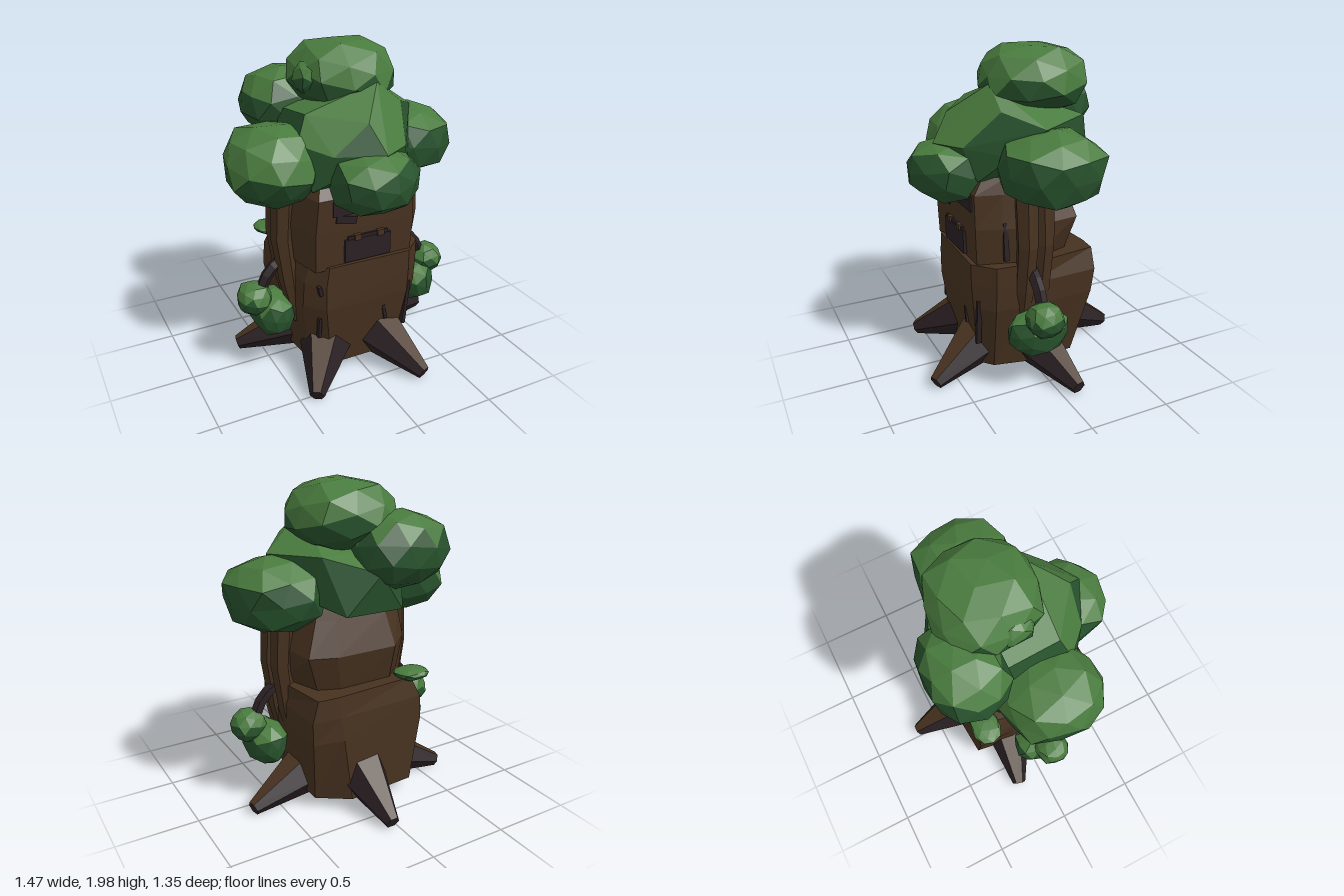
import * as THREE from 'three';
import { ConvexGeometry } from 'three/addons/geometries/ConvexGeometry.js';

const mat = (name, color) => {
  const m = new THREE.MeshStandardMaterial({ color });
  m.name = name;
  return m;
};

export function createModel() {
  const leafLight = mat('light leaves', 0x497b3e);
  const leafDark = mat('dark leaves', 0x28532d);
  const bark = mat('bark', 0x473220);
  const darkBark = mat('dark bark', 0x2a2023);
  const tree = new THREE.Group();
  tree.name = 'tree';

  const add = (name, geo, material) => {
    const mesh = new THREE.Mesh(geo, material);
    mesh.name = name;
    tree.add(mesh);
    return mesh;
  };

  const flat = (geo) => {
    const g = geo.index ? geo.toNonIndexed() : geo;
    g.computeVertexNormals();
    return g;
  };

  // Sorts facets into two material groups: upward facing first, then the rest
  const splitByNormal = (geo, limit) => {
    const g = flat(geo), p = g.attributes.position.array, n = g.attributes.normal.array;
    const up = [], rest = [];
    for (let i = 0; i < p.length; i += 9) (n[i + 1] > limit ? up : rest).push(...p.slice(i, i + 9));
    const out = new THREE.BufferGeometry();
    out.setAttribute('position', new THREE.Float32BufferAttribute([...up, ...rest], 3));
    out.computeVertexNormals();
    out.addGroup(0, up.length / 3, 0);
    out.addGroup(up.length / 3, rest.length / 3, 1);
    return out;
  };

  // Closed loft through horizontal sections [y, [[x, z], ...]], points running from +x to +z
  const loft = (sections) => {
    const v = [], n = sections[0][1].length;
    const at = (s, i) => { const [x, z] = s[1][i % n]; return [x, s[0], z]; };
    const centre = (s) => [
      s[1].reduce((t, q) => t + q[0], 0) / n, s[0], s[1].reduce((t, q) => t + q[1], 0) / n];
    const first = sections[0], last = sections[sections.length - 1];
    for (let i = 0; i < n; i++) {
      for (let k = 0; k < sections.length - 1; k++) {
        const a = sections[k], b = sections[k + 1];
        v.push(...at(a, i), ...at(b, i), ...at(a, i + 1), ...at(a, i + 1), ...at(b, i), ...at(b, i + 1));
      }
      v.push(...centre(first), ...at(first, i), ...at(first, i + 1));
      v.push(...centre(last), ...at(last, i + 1), ...at(last, i));
    }
    const g = new THREE.BufferGeometry();
    g.setAttribute('position', new THREE.Float32BufferAttribute(v, 3));
    return flat(g);
  };

  // Lumpy, slightly squared ball of leaves
  const blob = (name, c, r, seed, limit) => {
    const g = new THREE.IcosahedronGeometry(1, 1), p = g.attributes.position;
    g.rotateY(seed * 1.3).rotateZ(seed * 0.7);
    for (let i = 0; i < p.count; i++) {
      const q = [p.getX(i), p.getY(i), p.getZ(i)], [x, y, z] = q;
      const square = q.reduce((t, v) => t + Math.abs(v) ** 2.4, 0) ** (-1 / 2.4);
      const lump = 1.01 + 0.05 * Math.sin(x * 5.1 + seed * 2) * Math.cos(z * 4.3 - seed) + 0.03 * Math.sin(y * 7 + seed * 3);
      p.setXYZ(i, ...q.map((v) => v * square * lump));
    }
    g.scale(...r).translate(...c);
    return add(name, splitByNormal(g, limit), [leafLight, leafDark]);
  };

  // Trunk, with a dark underside
  add('lowerTrunk', splitByNormal(loft([
    [0.08, [[.33, -.24], [.34, .1], [.3, .28], [.22, .35], [-.22, .35], [-.32, .25], [-.35, -.08], [-.31, -.34], [.14, -.37]]],
    [0.5, [[.39, -.34], [.41, .1], [.39, .3], [.28, .4], [-.27, .4], [-.37, .28], [-.38, -.1], [-.38, -.34], [.2, -.375]]],
    [0.65, [[.4, -.355], [.42, .1], [.4, .3], [.28, .41], [-.27, .4], [-.36, .28], [-.38, -.1], [-.37, -.34], [.22, -.37]]],
    [0.78, [[.36, -.35], [.42, .1], [.4, .3], [.28, .41], [-.25, .4], [-.32, .28], [-.35, -.1], [-.31, -.32], [.24, -.36]]],
  ]), -0.95), [bark, darkBark]);
  add('upperTrunk', loft([
    [0.76, [[.28, -.2], [.38, .1], [.33, .27], [.3, .38], [-.33, .38], [-.37, .2], [-.35, -.1], [-.2, -.24], [.15, -.25]]],
    [1.0, [[.36, -.24], [.4, .1], [.36, .25], [.31, .39], [-.33, .39], [-.39, .2], [-.36, -.15], [-.2, -.3], [.2, -.3]]],
    [1.2, [[.28, -.18], [.37, .08], [.34, .23], [.3, .39], [-.31, .39], [-.36, .2], [-.33, -.12], [-.17, -.23], [.17, -.23]]],
    [1.29, [[.25, -.15], [.35, .05], [.32, .2], [.26, .32], [-.27, .32], [-.35, .2], [-.3, -.1], [-.15, -.2], [.15, -.2]]],
  ]), bark);

  // Bark ribs, branches and bushes on both sides
  for (const s of [1, -1]) {
    const side = s > 0 ? 'left' : 'right';
    for (const [z, dx] of [[0.12, 0], [0.01, -0.015]]) {
      const ring = (y, x, hx, hz) => [y, [0, 1, 2, 3, 4, 5].map((i) => {
        const a = i * Math.PI / 3 + 0.3;
        return [s * (x + dx) + hx * Math.cos(a), z + hz * Math.sin(a)];
      })];
      add(side + 'BarkRib', loft([
        ring(0.32, 0.35, 0.03, 0.04), ring(0.6, 0.395, 0.055, 0.06),
        ring(0.9, 0.43, 0.065, 0.065), ring(1.25, 0.41, 0.07, 0.075)]), bark);
    }
    const path = new THREE.CatmullRomCurve3([[.42, .74], [.49, .69], [.545, .61], [.56, .52]]
      .map(([x, y]) => new THREE.Vector3(s * x, y, 0.09)));
    add(side + 'Branch', flat(new THREE.TubeGeometry(path, 4, 0.037, 5)), darkBark);
    blob(side + 'LowerBush', [s * 0.5 + 0.01, 0.39, 0.07 + s * 0.015], [0.125, 0.135, 0.185], 3 + s, 0.45);
    blob(side + 'UpperBush', [s * 0.605 + 0.005, 0.51, 0.085 + s * 0.01], [0.106, 0.1, 0.106], 6 + s, 0.15);
  }
  blob('ledgeLeaves', [-0.34, 0.79, -0.28], [0.11, 0.035, 0.09], 2, 0.3);

  // Roots, from base centre to tip
  const roots = [
    [[.14, .2, .31], [.27, .045, .65]], [[-.22, .19, .27], [-.41, .045, .55]],
    [[-.27, .17, -.08], [-.645, .045, -.18]], [[.28, .17, -.02], [.685, .045, -.1]],
    [[.03, .21, -.3], [.04, .045, -.66]],
  ];
  for (const [b, t] of roots) {
    const d = [0, 1, 2].map((i) => t[i] - b[i]);
    const g = new THREE.CylinderGeometry(0.045, 0.16, Math.hypot(...d), 6);
    g.rotateY(Math.PI / 6).rotateX(Math.atan2(Math.hypot(d[0], d[2]), d[1])).rotateY(Math.atan2(d[0], d[2]));
    g.translate(...b.map((v, i) => v + d[i] / 2));
    add('root', splitByNormal(g, 0.7), [bark, darkBark]);
  }

  // Face plates and bark cracks: name, size, centre, turn about z
  const plates = [
    ['browPlate', [.49, .09, .03], [.02, 1.14, .385], 0],
    ['browChip', [.13, .045, .03], [-.14, 1.065, .385], -0.2],
    ['mouthPlate', [.3, .14, .03], [0, .865, .388], 0],
    ['mouthTop', [.26, .03, .03], [0, .94, .385], 0],
    ['crack', [.02, .23, .03], [.362, .92, .225], 0.08],
    ['crack', [.022, .3, .03], [.29, .4, .372], -0.1],
    ['crack', [.022, .1, .03], [.13, .38, .38], 0.2],
    ['crack', [.018, .13, .03], [-.3, .37, .355], -0.05],
    ['crack', [.02, .06, .03], [-.3, .63, .37], 0.2],
  ];
  for (const [name, size, c, turn] of plates) {
    const m = add(name, new THREE.BoxGeometry(...size), darkBark);
    m.position.set(...c);
    m.rotation.z = turn;
  }
  for (const x of [-0.07, 0.08]) {
    add('mouthNub', new THREE.BoxGeometry(.045, .035, .04), bark).position.set(x, .945, .392);
  }

  // Canopy: angular core with rounded clumps around it
  const core = [
    [.14, 1.79, .22], [-.02, 1.62, .42], [.04, 1.46, .53], [.22, 1.46, .42], [-.22, 1.45, .4],
    [-.37, 1.5, .25], [-.38, 1.45, 0], [-.3, 1.65, .2], [.48, 1.58, .03], [.3, 1.66, .22],
    [.38, 1.42, .2], [.36, 1.35, -.2], [.2, 1.27, -.4], [-.2, 1.25, -.36], [0, 1.5, -.44],
    [.3, 1.6, -.3], [-.3, 1.6, -.2], [0, 1.21, -.2], [-.32, 1.24, .33], [.27, 1.27, .35],
  ].map((q) => new THREE.Vector3(...q));
  add('canopyCore', splitByNormal(new ConvexGeometry(core), 0.45), [leafLight, leafDark]);
  blob('canopyTop', [.06, 1.79, -.075], [.31, .205, .31], 1, 0.1);
  blob('canopyTopLump', [-.16, 1.79, -.02], [.1, .1, .12], 3, 0.1);
  blob('canopyLeft', [.455, 1.36, -.015], [.28, .215, .3], 2, 0.4);
  blob('canopyRight', [-.455, 1.35, .08], [.275, .23, .295], 5, 0.1);
  blob('canopyFront', [.015, 1.295, .4], [.255, .185, .265], 4, 0.5);
  blob('canopyBack', [-.19, 1.6, -.32], [.285, .215, .23], 7, 0.4);

  return tree;
}
